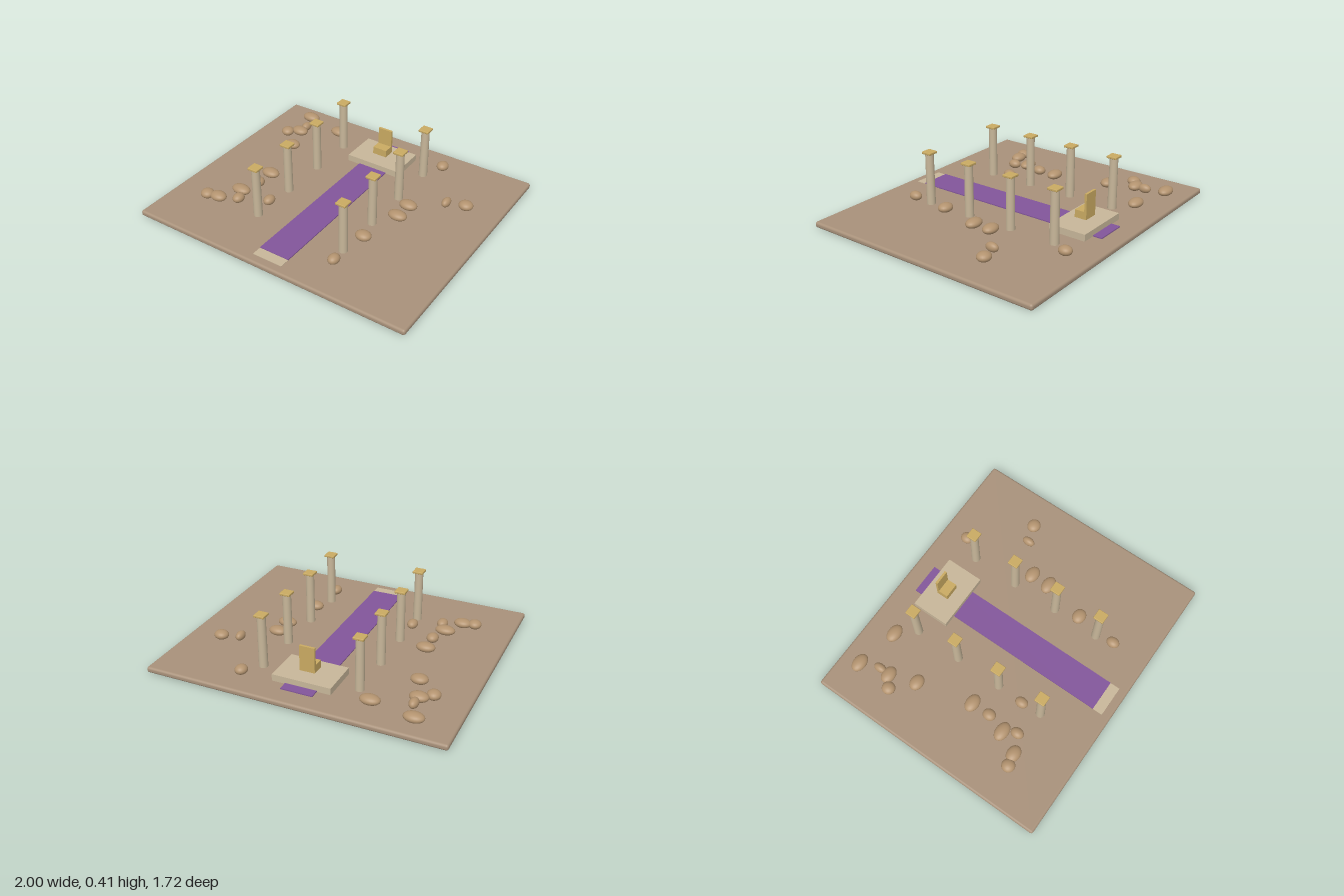
import * as THREE from 'three';
import { RoundedBoxGeometry } from 'three/addons/geometries/RoundedBoxGeometry.js';

const mat = (color) => new THREE.MeshStandardMaterial({ color });
const earth = mat(0xa8917a), stone = mat(0xc7b699), gold = mat(0xc9aa62);
const cloth = mat(0x82559a), rock = mat(0xb3936f);

function add(parent, name, geometry, material, x, y, z) {
  const mesh = new THREE.Mesh(geometry, material);
  mesh.name = name;
  mesh.position.set(x, y, z);
  parent.add(mesh);
  return mesh;
}

// Box given by its bounds
function box(parent, name, material, [x0, x1], [y0, y1], [z0, z1]) {
  const geo = new THREE.BoxGeometry(x1 - x0, y1 - y0, z1 - z0);
  return add(parent, name, geo, material, (x0 + x1) / 2, (y0 + y1) / 2, (z0 + z1) / 2);
}

export function createModel() {
  const model = new THREE.Group();
  model.name = 'ruinedThroneCourt';

  // Ground slab with rounded rim
  add(model, 'ground', new RoundedBoxGeometry(2, 0.04, 1.72, 4, 0.016), earth, 0, 0.02, 0);

  // Paved strip and carpet leading to the dais
  box(model, 'pavedStrip', stone, [-0.108, 0.108], [0.03, 0.043], [0.6, 0.8]);
  box(model, 'carpet', cloth, [-0.108, 0.108], [0.03, 0.047], [-0.735, 0.73]);

  // Dais and throne
  box(model, 'dais', stone, [-0.2, 0.2], [0.04, 0.086], [-0.67, -0.405]);
  const throne = new THREE.Group();
  throne.name = 'throne';
  box(throne, 'throneSeat', gold, [-0.052, 0.052], [0.104, 0.156], [-0.57, -0.497]);
  box(throne, 'throneBack', gold, [-0.052, 0.052], [0.104, 0.278], [-0.582, -0.566]);
  model.add(throne);

  // Two rows of columns with square gold capitals
  const shaft = new THREE.CylinderGeometry(0.028, 0.03, 0.357, 24);
  const capital = new RoundedBoxGeometry(0.072, 0.016, 0.072, 2, 0.004);
  for (const x of [-0.332, 0.332]) {
    for (const z of [-0.538, -0.204, 0.13, 0.464]) {
      const column = new THREE.Group();
      column.name = 'column';
      column.position.set(x, 0, z);
      add(column, 'columnShaft', shaft, stone, 0, 0.2185, 0);
      add(column, 'columnCapital', capital, gold, 0, 0.403, 0);
      model.add(column);
    }
  }

  // Scattered boulders: x, z, half width
  const boulders = [
    [-0.745, -0.715, 0.067], [-0.447, -0.653, 0.067], [-0.695, -0.58, 0.03],
    [-0.7, -0.505, 0.062], [-0.773, -0.45, 0.045], [-0.635, -0.32, 0.058],
    [-0.537, 0.064, 0.065], [-0.537, 0.2, 0.04], [-0.58, 0.333, 0.069],
    [-0.532, 0.42, 0.037], [-0.657, 0.478, 0.06], [-0.738, 0.494, 0.046],
    [-0.348, 0.326, 0.036], [0.414, -0.673, 0.041], [0.762, -0.342, 0.05],
    [0.639, -0.303, 0.028], [0.446, -0.136, 0.063], [0.444, 0, 0.066],
    [0.374, 0.3, 0.055], [0.348, 0.59, 0.037],
  ];
  const ball = new THREE.SphereGeometry(1, 24, 16);
  for (const [x, z, rx] of boulders) {
    add(model, 'boulder', ball, rock, x, 0.069, z).scale.set(rx, 0.031, 0.046);
  }
  return model;
}
